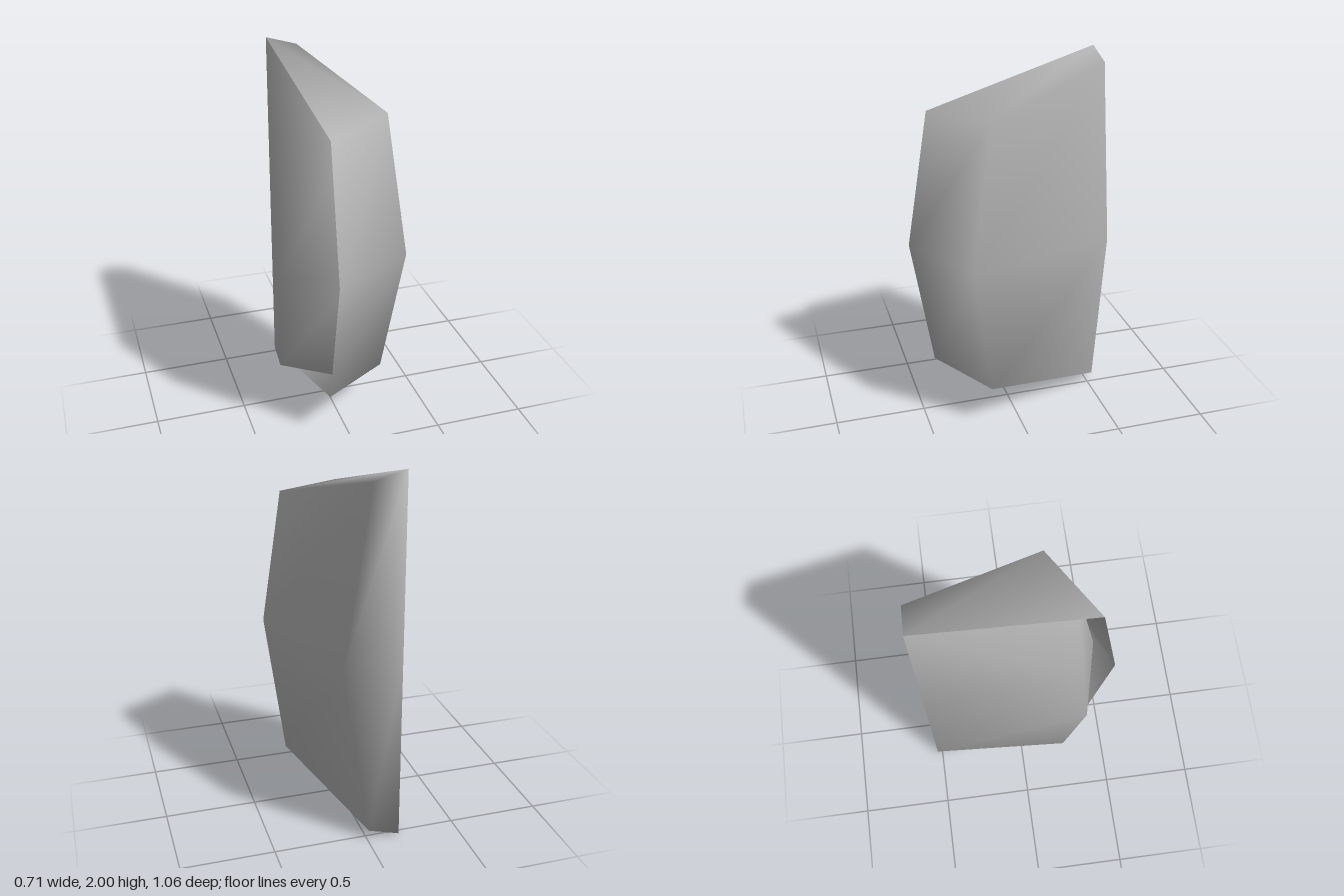
import * as THREE from 'three';

const grey = new THREE.MeshStandardMaterial({ color: 0xb4b4b4, side: THREE.DoubleSide });
grey.name = 'stone grey';

// A column holds an upper, middle and lower point; the lower mirrors the upper about y = 1.
const column = (top, middle) => [top, middle, [top[0], 2 - top[1], top[2]]];

// Straight rear spine shared by both lobes
const spine = column([-0.18, 2, -0.53], [-0.18, 1, -0.53]);

// Smooth shell: side strips between neighbouring columns, with roof and floor fanned to the spine.
function lobe(name, columns) {
  const all = [spine, ...columns];
  const positions = all.flat(2);
  const index = [];
  const id = (c) => all.indexOf(c) * 3;
  return {
    strip(a, b) {
      const p = id(a), q = id(b);
      for (let r = 0; r < 2; r++) {
        index.push(p + r + 1, q + r + 1, q + r, p + r + 1, q + r, p + r);
      }
      return this;
    },
    caps(a, b) {
      const p = id(a), q = id(b);
      index.push(0, p, q, 2, q + 2, p + 2);
      return this;
    },
    mesh() {
      const g = new THREE.BufferGeometry();
      g.setAttribute('position', new THREE.Float32BufferAttribute(positions, 3));
      g.setIndex(index);
      g.computeVertexNormals();
      const m = new THREE.Mesh(g, grey);
      m.name = name;
      return m;
    },
  };
}

export function createModel() {
  const model = new THREE.Group();
  model.name = 'facetedShard';

  // Main lobe: front, right side, back, roof and floor; open towards the side lobe
  const front = column([-0.105, 1.74, 0.405], [-0.095, 1, 0.527]);
  const corner = column([0.27, 1.76, 0.165], [0.355, 1, 0.28]);
  const back = column([-0.01, 1.95, -0.53], [0.135, 1, -0.53]);
  model.add(lobe('mainLobe', [front, corner, back])
    .strip(front, corner).strip(corner, back).strip(back, spine)
    .caps(front, corner).caps(corner, back)
    .mesh());

  // Side lobe: outer wall and front, tucked in behind the main front
  const outer = column([-0.335, 1.6, 0.23], [-0.355, 1, 0.33]);
  const inner = column([0.05, 1.72, 0.3], [0.055, 1, 0.43]);
  model.add(lobe('sideLobe', [outer, inner])
    .strip(spine, outer).strip(outer, inner)
    .caps(outer, inner)
    .mesh());

  return model;
}
